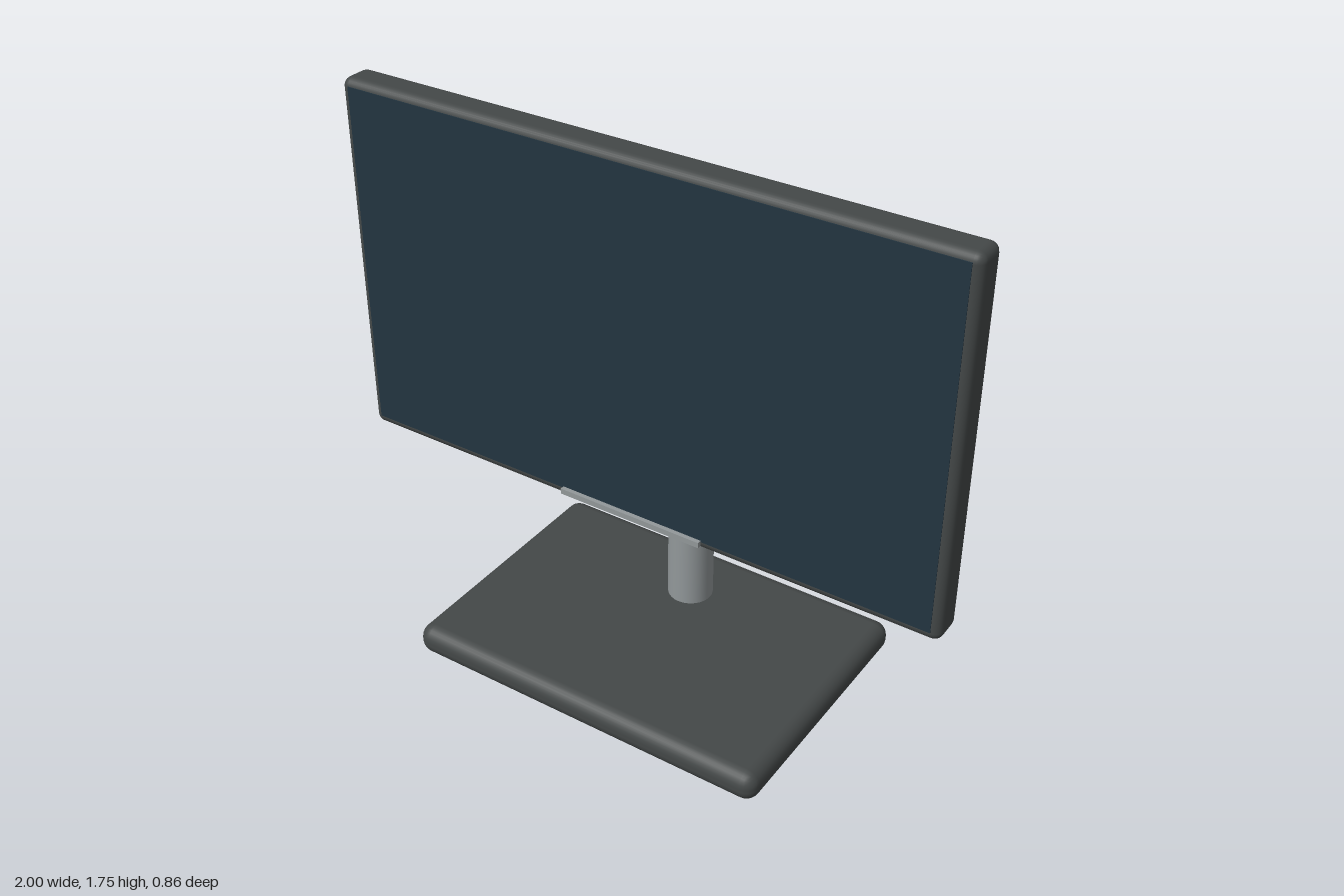
import * as THREE from 'three';
import { RoundedBoxGeometry } from 'three/addons/geometries/RoundedBoxGeometry.js';

const material = (name, color) => {
  const m = new THREE.MeshStandardMaterial({ color });
  m.name = name;
  return m;
};

export function createModel() {
  const model = new THREE.Group();
  model.name = 'monitor';

  const casing = material('dark grey casing', 0x444848);
  const metal = material('grey metal', 0x92989a);
  const glass = material('dark blue glass', 0x223440);

  const add = (name, geometry, mat, x, y, z) => {
    const mesh = new THREE.Mesh(geometry, mat);
    mesh.name = name;
    mesh.position.set(x, y, z);
    model.add(mesh);
    return mesh;
  };

  // Stand: rounded foot plate, round column and short arm to the panel
  add('base', new RoundedBoxGeometry(1.236, 0.1, 0.86, 3, 0.045), casing, 0, 0.05, 0);
  add('column', new THREE.CylinderGeometry(0.073, 0.073, 1.287, 32), metal, 0, 0.7235, -0.21);
  const arm = add('arm', new THREE.CylinderGeometry(0.049, 0.049, 0.24, 24), casing, 0, 1.16, -0.08);
  arm.rotation.x = Math.PI / 2;

  // Display: rounded housing with a thin screen plate on its front
  add('housing', new RoundedBoxGeometry(2, 1.172, 0.11, 3, 0.028), casing, 0, 1.16, 0.069);
  add('screen', new THREE.BoxGeometry(1.944, 1.118, 0.006), glass, 0, 1.164, 0.123);

  // Slim trim bar below the screen
  add('trimBar', new THREE.BoxGeometry(0.49, 0.018, 0.014), metal, 0, 0.603, 0.135);

  return model;
}
